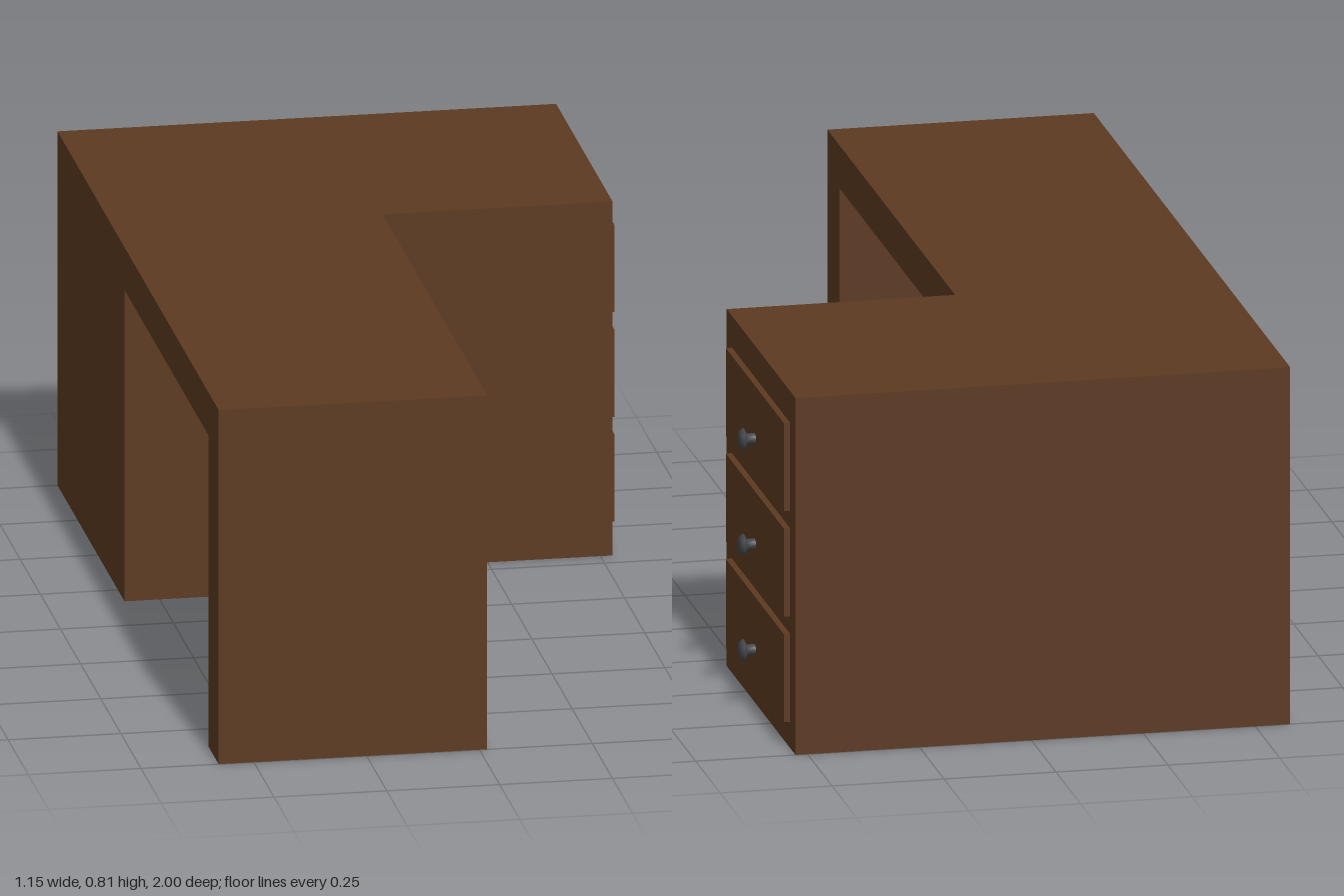
import * as THREE from 'three';

const wood = new THREE.MeshStandardMaterial({ color: 0x5c3a21 });
const metal = new THREE.MeshStandardMaterial({ color: 0x45484c });

const LEFT = -0.578, STEP = 0.017, FACE = 0.527, HEIGHT = 0.812;

function addMesh(parent, name, geometry, material, x = 0, y = 0, z = 0) {
  const mesh = new THREE.Mesh(geometry, material);
  mesh.name = name;
  mesh.position.set(x, y, z);
  parent.add(mesh);
  return mesh;
}

export function createModel() {
  const desk = new THREE.Group();
  desk.name = 'cornerDesk';

  // Worktop with its end leg and solid back block: one arch profile (-z, y) swept along x
  const arch = new THREE.Shape([
    [-1, 0], [-0.875, 0], [-0.875, 0.714], [0.168, 0.714],
    [0.168, 0], [1, 0], [1, HEIGHT], [-1, HEIGHT],
  ].map(([s, y]) => new THREE.Vector2(s, y)));
  const archGeometry = new THREE.ExtrudeGeometry(arch, { depth: STEP - LEFT, bevelEnabled: false });
  archGeometry.rotateY(Math.PI / 2);
  addMesh(desk, 'worktopAndLegs', archGeometry, wood, LEFT);

  // Drawer cabinet forming the short arm of the L
  addMesh(desk, 'cabinet', new THREE.BoxGeometry(FACE - STEP, HEIGHT, 0.7), wood,
    (FACE + STEP) / 2, HEIGHT / 2, -0.65);

  // Knob profile: slim stem, flared head with a chamfered rim
  const knobProfile = [[0.012, 0], [0.012, 0.018], [0.024, 0.024], [0.024, 0.027], [0.017, 0.035], [0, 0.035]]
    .map(([r, h]) => new THREE.Vector2(r, h));
  const knobGeometry = new THREE.LatheGeometry(knobProfile, 20);
  knobGeometry.rotateZ(-Math.PI / 2);

  // Three drawers, each a raised front with a knob
  for (let i = 0; i < 3; i++) {
    const drawer = new THREE.Group();
    drawer.name = `drawer${i + 1}`;
    drawer.position.set(FACE, 0.16 + i * 0.24, -0.65);
    addMesh(drawer, 'drawerFront', new THREE.BoxGeometry(0.014, 0.2, 0.592), wood, 0.007);
    addMesh(drawer, 'knob', knobGeometry, metal, 0.014, -0.02 );
    desk.add(drawer);
  }
  return desk;
}
